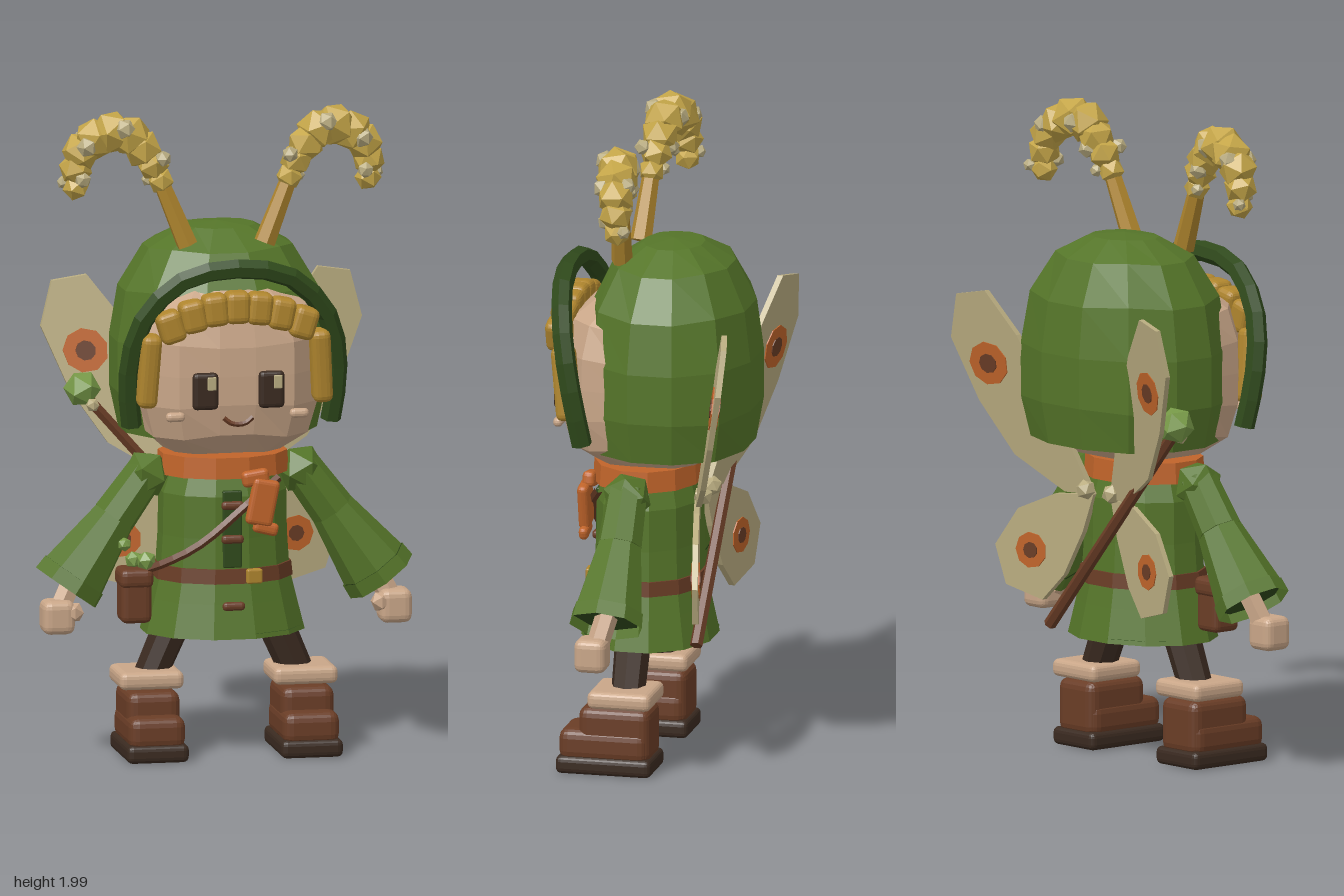
import * as THREE from 'three';
import { RoundedBoxGeometry } from 'three/addons/geometries/RoundedBoxGeometry.js';

const mat = (name, color, side = THREE.FrontSide) => {
  const m = new THREE.MeshStandardMaterial({ color, side });
  m.flatShading = true;
  m.name = name;
  return m;
};

export function createModel() {
  const green = mat('leafGreen', 0x557529, THREE.DoubleSide);
  const darkGreen = mat('darkGreen', 0x2f491b, THREE.DoubleSide);
  const paleGreen = mat('paleGreen', 0x789a48);
  const brown = mat('leatherBrown', 0x6a3d26);
  const darkBrown = mat('darkBrown', 0x3a2a20);
  const skin = mat('skin', 0xc9a688);
  const cream = mat('wingCream', 0xb9ac80);
  const orange = mat('orange', 0xc0642a);
  const gold = mat('hairGold', 0xb0862e);
  const yellow = mat('pollenYellow', 0xc4a548);

  const model = new THREE.Group();
  const V = (x, y, z) => new THREE.Vector3(x, y, z);
  const add = (name, geo, material, pos = [0, 0, 0], rot = [0, 0, 0]) => {
    const m = new THREE.Mesh(geo, material);
    m.name = name;
    m.position.set(...pos);
    m.rotation.set(...rot);
    model.add(m);
    return m;
  };
  const box = (name, w, h, d, material, pos, rot, r = 0.015) =>
    add(name, new RoundedBoxGeometry(w, h, d, 2, Math.min(r, w / 2.1, h / 2.1, d / 2.1)), material, pos, rot);
  const nugget = (name, r, material, pos, rot) => add(name, new THREE.IcosahedronGeometry(r, 0), material, pos, rot);
  // Tapered rod from a to b
  const rod = (name, a, b, ra, rb, sides, material, open = false) => {
    const d = b.clone().sub(a);
    const m = add(name, new THREE.CylinderGeometry(rb, ra, d.length(), sides, 1, open), material);
    m.position.copy(a).addScaledVector(d, 0.5);
    m.quaternion.setFromUnitVectors(V(0, 1, 0), d.normalize());
    return m;
  };
  const tube = (name, pts, r, segs, sides, material) =>
    add(name, new THREE.TubeGeometry(new THREE.CatmullRomCurve3(pts.map(p => V(...p))), segs, r, sides), material);
  // Sphere squared off towards a box by the power p
  const squareBall = (w, h, d, p, segs, rings, theta = Math.PI) => {
    const g = new THREE.SphereGeometry(1, segs, rings, 0, Math.PI * 2, 0, theta);
    g.rotateY(Math.PI / segs);
    const a = g.attributes.position, v = V(0, 0, 0);
    for (let i = 0; i < a.count; i++) {
      v.fromBufferAttribute(a, i);
      const s = (Math.abs(v.x) ** p + Math.abs(v.y) ** p + Math.abs(v.z) ** p) ** (-1 / p);
      a.setXYZ(i, v.x * s * w, Math.max(v.y * s * h, theta < Math.PI ? -0.21 : -9), v.z * s * d);
    }
    return g;
  };

  // Head and hood
  add('head', squareBall(0.285, 0.27, 0.265, 3.6, 16, 10), skin, [0, 1.2, 0.02]);
  add('hood', squareBall(0.33, 0.43, 0.265, 2.6, 12, 6, Math.PI * 0.67), green, [0, 1.2, -0.04]);
  tube('hoodRim', [[-0.31, 1.04, 0.175], [-0.325, 1.2, 0.205], [-0.29, 1.37, 0.24], [-0.17, 1.5, 0.27], [0, 1.535, 0.28],
    [0.17, 1.5, 0.27], [0.29, 1.37, 0.24], [0.325, 1.2, 0.205], [0.31, 1.04, 0.175]], 0.032, 16, 6, darkGreen);

  // Hair
  for (let i = -3; i <= 3; i++) {
    box('fringeLock', 0.078, 0.1, 0.08, gold, [i * 0.069, 1.415 - 0.006 * i * i, 0.27], [0, 0, -i * 0.1], 0.022);
  }

  // Face
  tube('mouth', [[-0.045, 1.075, 0.288], [-0.02, 1.057, 0.291], [0.02, 1.057, 0.291], [0.045, 1.075, 0.288]], 0.008, 8, 5, brown);
  for (const s of [-1, 1]) {
    box('eye', 0.08, 0.115, 0.03, darkBrown, [s * 0.103, 1.16, 0.292]);
    box('eyeGlint', 0.028, 0.042, 0.008, cream, [s * 0.103 + 0.018, 1.185, 0.306]);
    box('cheek', 0.06, 0.03, 0.03, skin, [s * 0.193, 1.08, 0.275]);
    box('sideLock', 0.062, 0.23, 0.075, gold, [s * 0.268, 1.22, 0.235], [0.1, 0, s * 0.06], 0.022);
  }

  // Tunic
  const turned = Math.PI / 12;
  const profile = [[0.255, 0.375], [0.228, 0.48], [0.208, 0.56], [0.2, 0.68], [0.198, 0.81], [0.165, 0.9]].map(p => new THREE.Vector2(...p));
  add('tunic', new THREE.LatheGeometry(profile, 12, turned), green, [0, 0, 0.035]).scale.z = 0.82;
  add('tunicLining', new THREE.CircleGeometry(0.245, 12), darkGreen, [0, 0.39, 0.035], [Math.PI / 2, 0, turned]).scale.y = 0.82;
  add('belt', new THREE.CylinderGeometry(0.213, 0.218, 0.045, 12, 1, false, turned), brown, [0, 0.565, 0.035]).scale.z = 0.83;
  box('buckle', 0.05, 0.045, 0.03, gold, [0.065, 0.565, 0.205], [0, 0.1, 0], 0.006);
  box('placket', 0.06, 0.24, 0.02, darkGreen, [0, 0.71, 0.19], [0, 0, 0], 0.005);
  for (const [y, z] of [[0.785, 0.2], [0.68, 0.2], [0.475, 0.218]]) box('toggle', 0.07, 0.027, 0.025, brown, [0, y, z]);

  // Scarf
  add('scarf', new THREE.CylinderGeometry(0.2, 0.205, 0.065, 12, 1, false, turned), orange, [0, 0.9, 0.04]).scale.z = 0.82;
  box('scarfKnot', 0.085, 0.05, 0.04, orange, [0.07, 0.87, 0.205], [0, 0, 0.15]);
  box('scarfTail', 0.085, 0.145, 0.035, orange, [0.09, 0.795, 0.217], [0, 0, -0.2]);
  box('scarfTailTip', 0.08, 0.04, 0.03, orange, [0.1, 0.715, 0.215], [0, 0, -0.25]);

  // Shoulder strap and pouch
  tube('strap', [[0.15, 0.86, 0.16], [0.04, 0.785, 0.208], [-0.1, 0.67, 0.205], [-0.2, 0.61, 0.165], [-0.28, 0.57, 0.1]], 0.014, 12, 5, brown);
  box('pouch', 0.095, 0.16, 0.1, brown, [-0.285, 0.495, 0.09], [0, 0, 0], 0.02);
  box('pouchFlap', 0.105, 0.06, 0.115, brown, [-0.285, 0.555, 0.09], [0, 0, 0], 0.02);
  for (const [x, y, z, r] of [[-0.255, 0.61, 0.13, 0.032], [-0.285, 0.605, 0.08, 0.028], [-0.325, 0.665, 0.14, 0.022]]) {
    nugget('pouchHerb', r, paleGreen, [x, y, z], [x * 9, y * 7, 0]);
  }

  // Staff on the back
  rod('staff', V(-0.4, 1.09, -0.17), V(0.21, 0.4, -0.16), 0.018, 0.02, 6, brown);
  nugget('staffBud', 0.058, paleGreen, [-0.395, 1.095, -0.175], [0.3, 0.4, 0]);
  nugget('staffSeed', 0.022, cream, [-0.37, 1.05, -0.135]);

  // A thin plate following the slant of a wing, z = slant(x, y)
  const plate = (name, pts, thick, slant, material) => {
    const g = new THREE.ExtrudeGeometry(new THREE.Shape(pts.map(p => new THREE.Vector2(...p))), { depth: thick, bevelEnabled: false });
    const a = g.attributes.position;
    for (let i = 0; i < a.count; i++) a.setZ(i, a.getZ(i) - thick / 2 + slant(a.getX(i), a.getY(i)));
    add(name, g, material);
  };
  const disc = (cx, cy, r) => Array.from({ length: 9 }, (_, i) => [cx + r * Math.cos(i * Math.PI * 2 / 9), cy + r * Math.sin(i * Math.PI * 2 / 9)]);
  const wings = [
    { name: 'upperWing', spot: [0.37, 1.2], r: 0.068, slant: (x, y) => -0.13 - 0.25 * (Math.abs(x) - 0.05) - 0.13 * (y - 0.83),
      pts: [[0.04, 0.82], [0.14, 0.82], [0.31, 0.92], [0.42, 1.08], [0.5, 1.27], [0.465, 1.41], [0.36, 1.43], [0.26, 1.3], [0.13, 1.03]] },
    { name: 'lowerWing', spot: [0.27, 0.625], r: 0.056, slant: x => -0.125 - 0.22 * (Math.abs(x) - 0.05),
      pts: [[0.04, 0.82], [0.18, 0.81], [0.32, 0.75], [0.405, 0.63], [0.365, 0.51], [0.23, 0.475], [0.15, 0.56], [0.08, 0.7]] },
  ];

  for (const s of [-1, 1]) {
    // Wings
    for (const w of wings) {
      const flip = pts => pts.map(([x, y]) => [x * s, y]);
      plate(w.name, flip(w.pts), 0.018, w.slant, cream);
      plate(w.name + 'Spot', flip(disc(...w.spot, w.r)), 0.025, w.slant, orange);
      plate(w.name + 'Eye', flip(disc(...w.spot, w.r * 0.45)), 0.031, w.slant, brown);
    }
    nugget('wingRoot', 0.032, cream, [s * 0.06, 0.835, -0.145], [0.4, s, 0]);

    // Arms
    const shoulder = V(s * 0.235, 0.88, 0.05), elbow = V(s * 0.34, 0.735, 0.05);
    const flare = V(s * 0.465, 0.56, 0.055), cuff = V(s * 0.492, 0.522, 0.056);
    nugget('shoulderCap', 0.078, green, [s * 0.24, 0.865, 0.05], [0.2, s * 0.4, 0]);
    rod('upperSleeve', shoulder, elbow, 0.062, 0.07, 8, green);
    rod('lowerSleeve', elbow, flare, 0.07, 0.108, 8, green, true);
    rod('sleeveCuff', flare, cuff, 0.112, 0.116, 8, green, true);
    rod('sleeveLining', flare, flare.clone().lerp(cuff, 0.4), 0.106, 0.106, 8, darkGreen);
    rod('wrist', flare, V(s * 0.52, 0.45, 0.08), 0.035, 0.035, 6, skin);
    box('hand', 0.1, 0.105, 0.1, skin, [s * 0.525, 0.44, 0.09], [0, 0, 0], 0.025);
    nugget('thumb', 0.033, skin, [s * 0.478, 0.455, 0.115]);

    // Legs and boots
    const x = s * 0.24;
    rod('leg', V(s * 0.245, 0.2, 0.05), V(s * 0.14, 0.44, 0.05), 0.052, 0.058, 8, darkBrown);
    box('bootCuff', 0.2, 0.055, 0.2, skin, [x, 0.238, 0.055], [0, 0, 0], 0.02);
    box('bootShaft', 0.165, 0.17, 0.225, brown, [x, 0.125, 0.075], [0, 0, 0], 0.03);
    box('bootToe', 0.175, 0.1, 0.28, brown, [x, 0.09, 0.108], [0, 0, 0], 0.03);
    box('bootSole', 0.192, 0.056, 0.3, darkBrown, [x, 0.028, 0.105], [0, 0, 0], 0.018);

    // Antennae with pollen tufts along a curling path
    rod('antennaStem', V(s * 0.12, 1.58, 0.095), V(s * 0.205, 1.79, 0.08), 0.034, 0.026, 6, gold);
    const curl = new THREE.CatmullRomCurve3([V(0.2, 1.78, 0.08), V(0.235, 1.85, 0.07), V(0.31, 1.93, 0.06), V(0.39, 1.915, 0.045), V(0.45, 1.855, 0.035), V(0.455, 1.76, 0.03)]);
    for (let i = 0; i < 9; i++) {
      const t = i / 8, p = curl.getPointAt(t);
      const r = 0.042 + 0.028 * Math.sin(Math.PI * t);
      nugget('antennaTuft', r, yellow, [s * p.x, p.y, p.z], [i * 1.3, i * 0.8 * s, i * 0.5]);
      nugget('antennaFleck', r * 0.5, cream,
        [s * (p.x + 0.035 * Math.cos(i * 2.4)), p.y + 0.032 * Math.sin(i * 2.4), p.z + (i % 2 ? 0.035 : -0.03)], [i, i * 2, 0]);
    }
  }
  return model;
}
